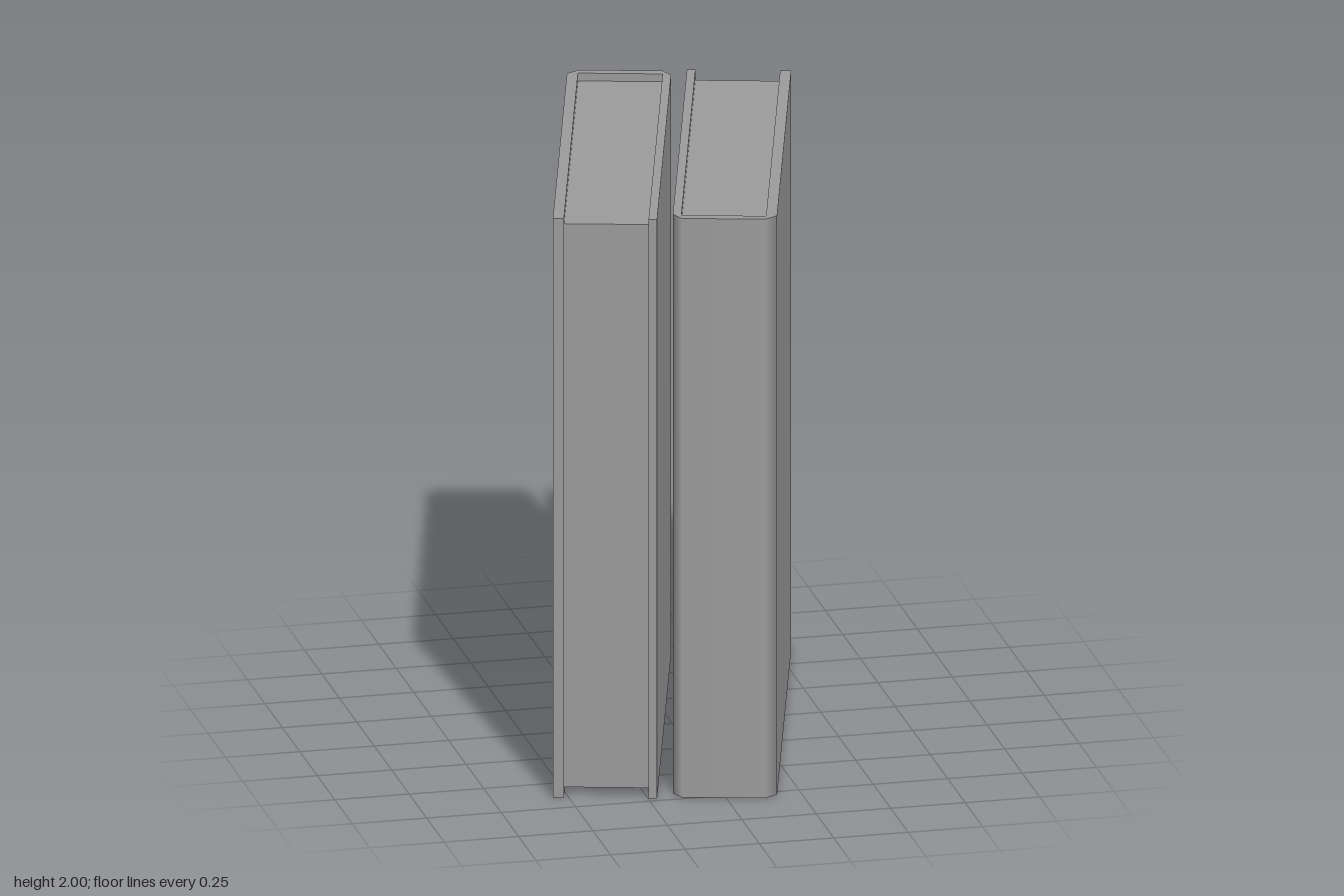
import * as THREE from 'three';

const material = new THREE.MeshStandardMaterial({ color: 0x9b9b9b });

// Plan outline (across, towards the fore edge) extruded upwards from y = bottom
function upright(points, bottom, top) {
  const shape = new THREE.Shape(points.map(([x, y]) => new THREE.Vector2(x, y)));
  const geometry = new THREE.ExtrudeGeometry(shape, { depth: top - bottom, bevelEnabled: false });
  return geometry.rotateX(-Math.PI / 2).translate(0, bottom, 0);
}

// Smooth shading over the given outline corners: each wall normal there is
// square to the chord between the neighbouring corners
function softenCorners(geometry, points, corners) {
  const { position, normal } = geometry.attributes;
  for (const c of corners) {
    const [x, y] = points[c], [x0, y0] = points[c - 1], [x1, y1] = points[c + 1];
    const n = new THREE.Vector3(y1 - y0, 0, x1 - x0).normalize();
    for (let i = 0; i < position.count; i++) {
      const here = Math.hypot(position.getX(i) - x, position.getZ(i) + y) < 1e-4;
      if (here && Math.abs(normal.getY(i)) < 0.5) normal.setXYZ(i, n.x, n.y, n.z);
    }
  }
  return geometry;
}

function part(name, geometry) {
  const mesh = new THREE.Mesh(geometry, material);
  mesh.name = name;
  return mesh;
}

function createBook(name) {
  const book = new THREE.Group();
  book.name = name;
  const left = 0.025, right = 0.366, spine = -0.747, edge = 0.762;
  const inLeft = 0.053, inRight = 0.33, inSpine = -0.714;

  // U-shaped cover with two boards and a chamfered, softly shaded spine
  const outline = [
    [left, edge], [left, spine + 0.04], [left + 0.03, spine],
    [right - 0.038, spine], [right, spine + 0.037], [right, edge],
    [inRight, edge], [inRight, inSpine], [inLeft, inSpine], [inLeft, edge],
  ];
  book.add(part('cover', softenCorners(upright(outline, 0, 2), outline, [1, 2, 3, 4])));

  // Page block, set back from the cover at top, bottom and fore edge
  book.add(part('pages', upright([
    [inLeft, inSpine], [inRight, inSpine], [inRight, 0.734], [inLeft, 0.734],
  ], 0.027, 1.973)));
  return book;
}

export function createModel() {
  const model = new THREE.Group();
  model.name = 'books';
  // Two identical books side by side, facing opposite ways
  ['rightBook', 'leftBook'].forEach((name, i) => {
    const book = createBook(i === 0 ? 'leftBook' : 'rightBook');
    book.rotation.y = -Math.PI / 12 + i * Math.PI;
    model.add(book);
  });
  return model;
}
